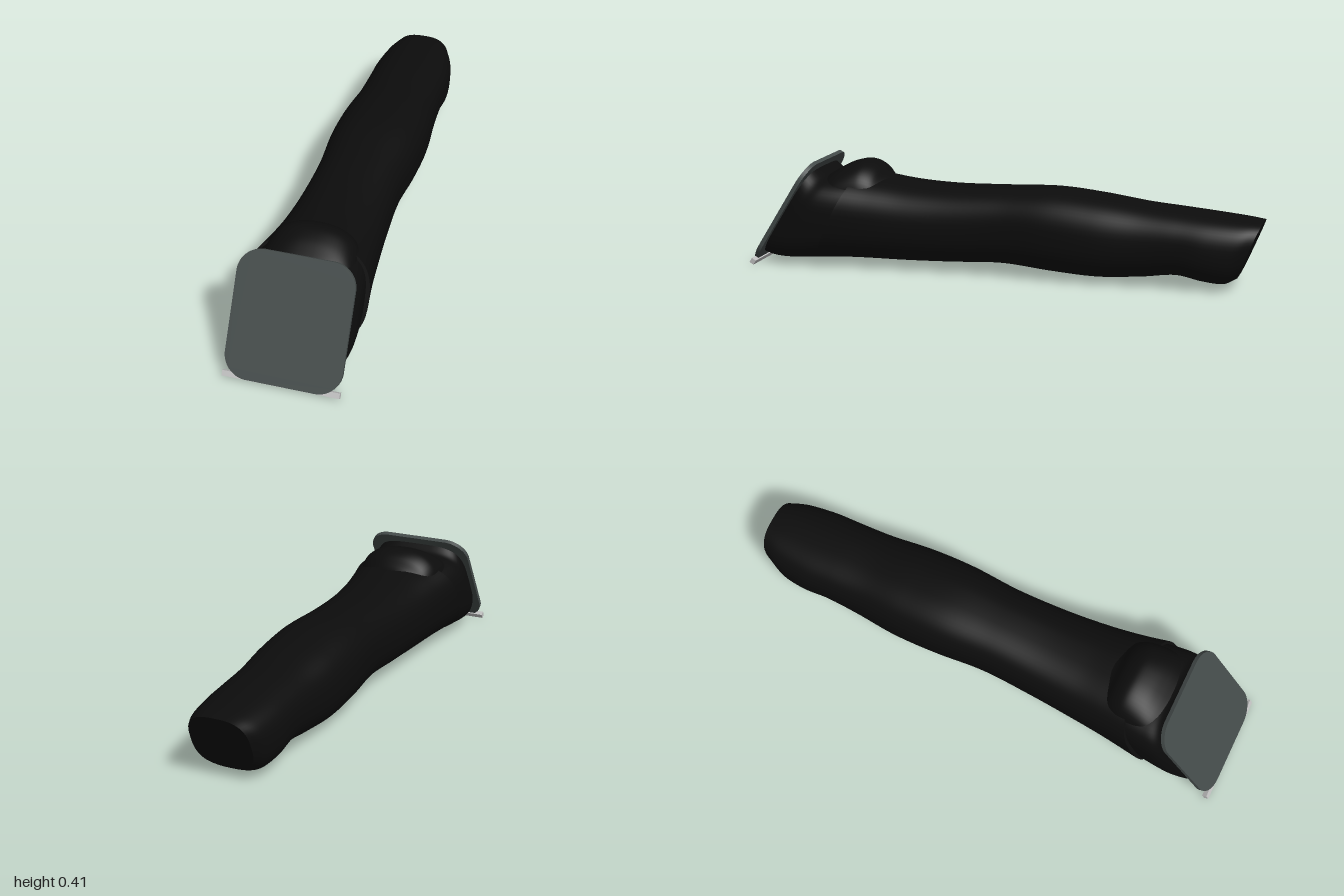
import * as THREE from 'three';

const black = new THREE.MeshStandardMaterial({ name: 'matte black', color: 0x0c0c0c });
const grey = new THREE.MeshStandardMaterial({ name: 'slate grey', color: 0x434a49 });
const steel = new THREE.MeshStandardMaterial({ name: 'steel', color: 0xbfbfbf });

// Skin over rounded sections [zBottom, yBottom, zTop, yTop, halfWidth, squareness], back to front
function loft(name, sections, steps, sides = 56) {
  const low = new THREE.CatmullRomCurve3(sections.map(s => new THREE.Vector3(s[4], s[1], s[0])), false, 'catmullrom', 0.5);
  const high = new THREE.CatmullRomCurve3(sections.map(s => new THREE.Vector3(s[5], s[3], s[2])), false, 'catmullrom', 0.5);
  const pos = [], index = [];
  const ring = t => {
    const b = low.getPoint(t), h = high.getPoint(t), start = pos.length / 3;
    for (let j = 0; j < sides; j++) {
      const a = j / sides * Math.PI * 2, c = Math.cos(a), s = Math.sin(a), e = 2 / h.x;
      const x = Math.sign(c) * Math.abs(c) ** e;
      const k = (1 + Math.sign(s) * Math.abs(s) ** e) / 2;
      pos.push(x * b.x, b.y + (h.y - b.y) * k, b.z + (h.z - b.z) * k);
    }
    return start;
  };
  for (let i = 0; i <= steps; i++) ring(i / steps);
  for (let i = 0; i < steps; i++) {
    for (let j = 0; j < sides; j++) {
      const a = i * sides + j, b = i * sides + (j + 1) % sides;
      index.push(a, b, a + sides, b, b + sides, a + sides);
    }
  }
  // flat end caps with their own vertices, so the rims stay sharp
  for (const t of [0, 1]) {
    const start = ring(t), b = low.getPoint(t), h = high.getPoint(t), mid = pos.length / 3;
    pos.push(0, (b.y + h.y) / 2, (b.z + h.z) / 2);
    for (let j = 0; j < sides; j++) {
      const p = start + j, q = start + (j + 1) % sides;
      index.push(mid, t ? p : q, t ? q : p);
    }
  }
  const g = new THREE.BufferGeometry();
  g.setAttribute('position', new THREE.Float32BufferAttribute(pos, 3));
  g.setIndex(index);
  g.computeVertexNormals();
  const mesh = new THREE.Mesh(g, black);
  mesh.name = name;
  return mesh;
}

function roundedRect(w, h, r) {
  const s = new THREE.Shape(), x = w / 2 - r, y = h / 2 - r;
  s.absarc(x, y, r, 0, Math.PI / 2);
  s.absarc(-x, y, r, Math.PI / 2, Math.PI);
  s.absarc(-x, -y, r, Math.PI, Math.PI * 1.5);
  s.absarc(x, -y, r, Math.PI * 1.5, Math.PI * 2);
  return s;
}

export function createModel() {
  const model = new THREE.Group();
  model.name = 'trimmer';

  // wavy grip with a slanted tail and a flared collar
  model.add(loft('handle', [
    [-0.91, 0.04, -1.0, 0.258, 0.12, 2.8],
    [-0.86, 0.016, -0.93, 0.266, 0.147, 2.7],
    [-0.78, 0.022, -0.81, 0.277, 0.161, 2.6],
    [-0.68, 0.038, -0.69, 0.288, 0.161, 2.5],
    [-0.55, 0.022, -0.55, 0.3, 0.166, 2.5],
    [-0.38, 0.01, -0.38, 0.322, 0.181, 2.5],
    [-0.2, 0.019, -0.2, 0.337, 0.181, 2.5],
    [0, 0.035, 0, 0.331, 0.168, 2.5],
    [0.2, 0.026, 0.2, 0.325, 0.175, 2.5],
    [0.38, 0.021, 0.36, 0.33, 0.189, 2.5],
    [0.56, 0.021, 0.48, 0.342, 0.206, 2.6],
    [0.74, 0.018, 0.58, 0.355, 0.228, 2.7],
  ], 88));

  // squarer head narrowing towards the slanted plate
  model.add(loft('head', [
    [0.6, 0.024, 0.46, 0.325, 0.19, 3],
    [0.74, 0.017, 0.58, 0.34, 0.212, 3.2],
    [0.85, 0.013, 0.67, 0.345, 0.22, 3.5],
    [0.92, 0.016, 0.72, 0.35, 0.212, 3.7],
    [0.975, 0.028, 0.755, 0.378, 0.195, 4],
  ], 28));

  // thumb rest on top, behind the plate
  model.add(loft('thumbRest', [
    [0.45, 0.18, 0.45, 0.33, 0.1, 2.1],
    [0.485, 0.18, 0.485, 0.35, 0.13, 2.1],
    [0.515, 0.17, 0.515, 0.384, 0.15, 2.2],
    [0.55, 0.16, 0.55, 0.402, 0.163, 2.3],
    [0.585, 0.15, 0.585, 0.406, 0.17, 2.3],
    [0.635, 0.15, 0.635, 0.393, 0.176, 2.3],
    [0.68, 0.15, 0.68, 0.37, 0.178, 2.4],
    [0.72, 0.15, 0.72, 0.345, 0.17, 2.4],
  ], 32));

  // slanted front plate with the blade bar along its lower edge
  const front = new THREE.Group();
  front.name = 'frontAssembly';
  front.position.set(0, 0.21, 0.873);
  front.rotation.x = -0.558;
  const plate = new THREE.Mesh(
    new THREE.ExtrudeGeometry(roundedRect(0.434, 0.47, 0.09), { depth: 0.016, bevelEnabled: false, curveSegments: 14 }), grey);
  plate.name = 'facePlate';
  plate.position.z = -0.016;
  const blade = new THREE.Mesh(new THREE.BoxGeometry(0.434, 0.02, 0.019), steel);
  blade.name = 'bladeBar';
  blade.position.set(0, -0.226, -0.0115);
  front.add(plate, blade);
  model.add(front);

  return model;
}
